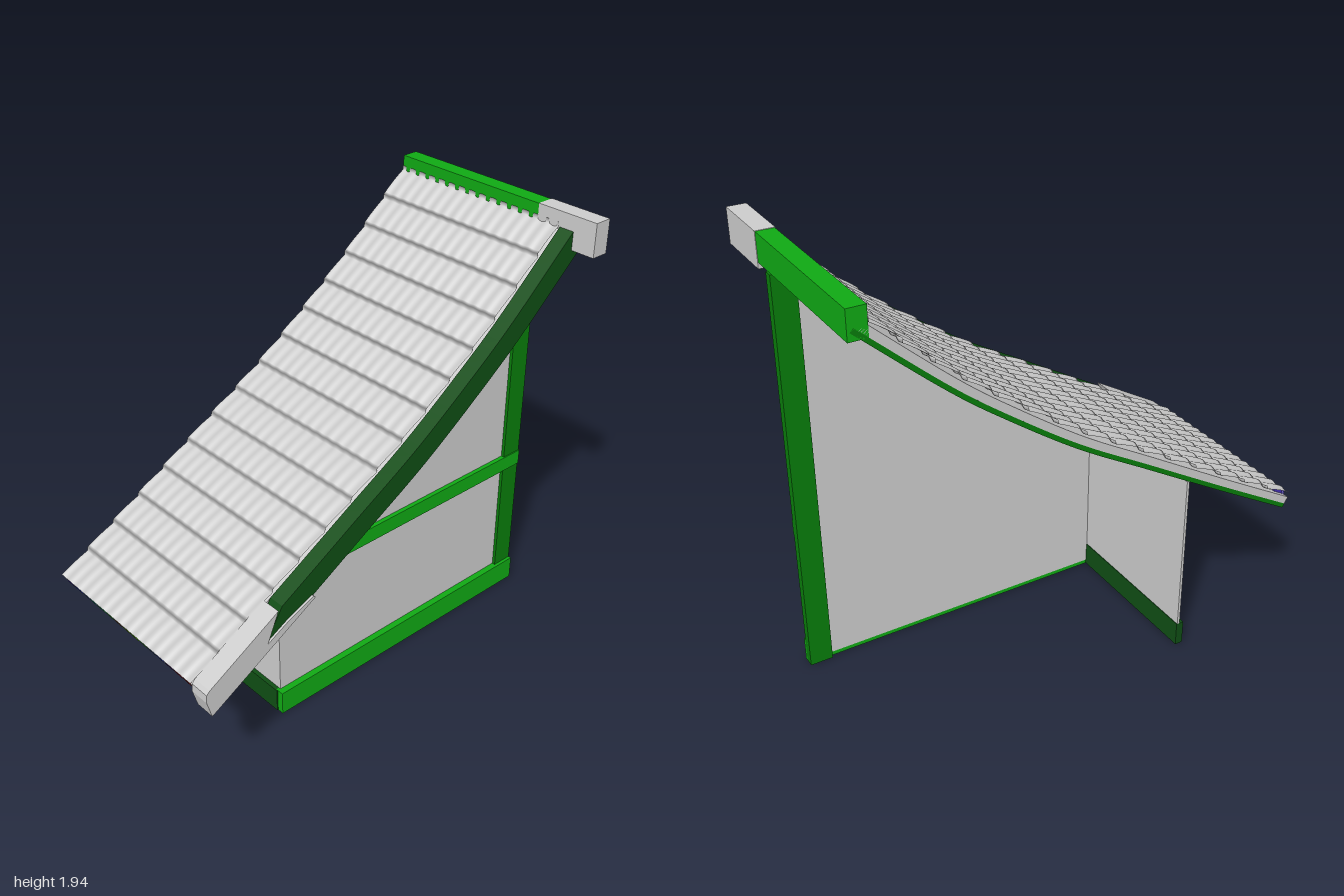
import * as THREE from 'three';
import { ParametricGeometry } from 'three/addons/geometries/ParametricGeometry.js';

const material = (color) => new THREE.MeshStandardMaterial({ color, side: THREE.DoubleSide });
const LEFT_CUT = -0.54;

// Roof line from eave to ridge, as (z, y)
const roofLine = new THREE.SplineCurve([
  [1.0, 0.585], [0.65, 0.785], [0.25, 1.02], [-0.08, 1.215],
  [-0.4, 1.44], [-0.61, 1.605], [-0.92, 1.88], [-1.0, 1.95],
].map(([z, y]) => new THREE.Vector2(z, y)));

// Point on the roof line at height 'offset' above the surface
function roofPoint(t, offset) {
  const p = roofLine.getPointAt(t), d = roofLine.getTangentAt(t);
  return new THREE.Vector2(p.x + d.y * offset, p.y - d.x * offset);
}

function roofSamples(t0, t1, offset, n = 40) {
  return Array.from({ length: n + 1 }, (_, i) => roofPoint(t0 + (t1 - t0) * i / n, offset));
}

export function createModel() {
  const group = new THREE.Group();
  const grey = material(0xcccccc);
  const brightGreen = material(0x10a814);
  const green = material(0x087c0a);
  const darkGreen = material(0x0f4d14);

  function add(name, geometry, mat) {
    const mesh = new THREE.Mesh(geometry, mat);
    mesh.name = name;
    group.add(mesh);
    return mesh;
  }

  // Box given by its limits on each axis
  function box(name, [x0, x1], [y0, y1], [z0, z1], mat) {
    const g = new THREE.BoxGeometry(x1 - x0, y1 - y0, z1 - z0);
    g.translate((x0 + x1) / 2, (y0 + y1) / 2, (z0 + z1) / 2);
    return add(name, g, mat);
  }

  // Side outline in (z, y), extruded from x0 to x1
  function sidePanel(name, points, x0, x1, mat) {
    const g = new THREE.ExtrudeGeometry(new THREE.Shape(points), {
      depth: x1 - x0, bevelEnabled: false,
    });
    g.rotateY(-Math.PI / 2).translate(x1, 0, 0);
    return add(name, g, mat);
  }

  const v = (z, y) => new THREE.Vector2(z, y);

  // Walls
  const wallTop = roofSamples(0, 1, -0.055, 80).filter((p) => p.x < 0.44 && p.x > -0.98);
  sidePanel('gableWall', [v(-0.98, 0.02), v(0.44, 0.02), v(0.44, 0.835), ...wallTop], 0.168, 0.18, grey);
  box('frontWall', [LEFT_CUT, 0.178], [0.02, 0.835], [0.428, 0.44], grey);

  // Timber frame
  box('frontSill', [LEFT_CUT, 0.18], [0, 0.11], [0.425, 0.46], darkGreen);
  box('sideSill', [0.17, 0.21], [0, 0.11], [-0.99, 0.455], brightGreen);
  box('middleRail', [0.172, 0.2], [0.65, 0.72], [-0.99, 0.445], brightGreen);
  box('backPost', [0.155, 0.195], [0, 1.8], [-0.99, -0.89], green);

  // Roof deck and the bed under the tiles
  const band = (top, bottom, end) =>
    [...roofSamples(0, end, top), ...roofSamples(0, end, bottom).reverse()];
  sidePanel('roofDeck', band(-0.045, -0.065, 0.97), LEFT_CUT, 0.345, green);
  sidePanel('tileBed', band(-0.012, -0.045, 0.96), LEFT_CUT, 0.35, grey);

  // Rippled tile courses
  const columns = 15, courses = 15;
  const tiles = new ParametricGeometry((a, b, out) => {
    const course = (b * courses) % 1;
    const ripple = Math.cos(a * columns * 2 * Math.PI) * 0.003;
    const lap = -0.016 * course * course;
    const p = roofPoint(b * 0.96, 0.008 + lap + ripple);
    out.set(LEFT_CUT + a * 0.89, p.y, p.x);
  }, 120, 180);
  add('tiles', tiles, grey);

  // Coloured round tile ends along the eave
  const eaveColors = [0x3a2a9c, 0x2a3cae, 0x44608c, 0x1f8a80, 0x1c8c50, 0x2a8a2a, 0x5a3a1c, 0x5c8a1c,
    0x58b010, 0x3c8a3c, 0x40587c, 0x2c3c9c, 0x40205c, 0x7a1c2c, 0x701414];
  const eave = new THREE.Group();
  eave.name = 'eaveTileEnds';
  const slope = roofLine.getTangentAt(0);
  const axis = new THREE.Vector3(0, -slope.y, -slope.x);
  const ringGeometry = new THREE.TorusGeometry(0.019, 0.007, 8, 16);
  const plugGeometry = new THREE.CylinderGeometry(0.02, 0.02, 0.06, 16).rotateX(Math.PI / 2);
  eaveColors.forEach((color, i) => {
    const end = new THREE.Group();
    const mat = material(color);
    const plug = new THREE.Mesh(plugGeometry, mat);
    plug.position.z = -0.032;
    end.add(new THREE.Mesh(ringGeometry, mat), plug);
    end.name = 'tileEnd';
    const p = roofPoint(0.002, -0.022);
    end.position.set(-0.495 + i * 0.0575, p.y, p.x);
    end.quaternion.setFromUnitVectors(new THREE.Vector3(0, 0, 1), axis);
    eave.add(end);
  });
  group.add(eave);

  // Bargeboard along the gable edge, with a raised outer face strip
  const start = 0.18;
  const board = (top, bottom) => [
    ...roofSamples(start, 0.975, top),
    ...roofSamples(start + 0.01, 0.96, bottom).reverse(),
    v(0.7, 0.665),
  ];
  sidePanel('bargeboard', board(-0.004, -0.105), 0.355, 0.425, darkGreen);

  // Eave end cap with a thin tongue under the bargeboard
  sidePanel('eaveEndCap', [
    v(0.645, 0.795), v(0.98, 0.6), v(0.995, 0.585), v(0.997, 0.55), v(0.975, 0.47),
    v(0.46, 0.765), v(0.47, 0.775), v(0.59, 0.725), v(0.7, 0.665),
  ], 0.345, 0.435, grey);

  // Ridge
  box('ridgeBeam', [LEFT_CUT, 0.24], [1.82, 1.94], [-0.998, -0.922], brightGreen);
  box('ridgeEndCap', [0.24, 0.535], [1.795, 1.942], [-1, -0.92], grey);

  return group;
}
